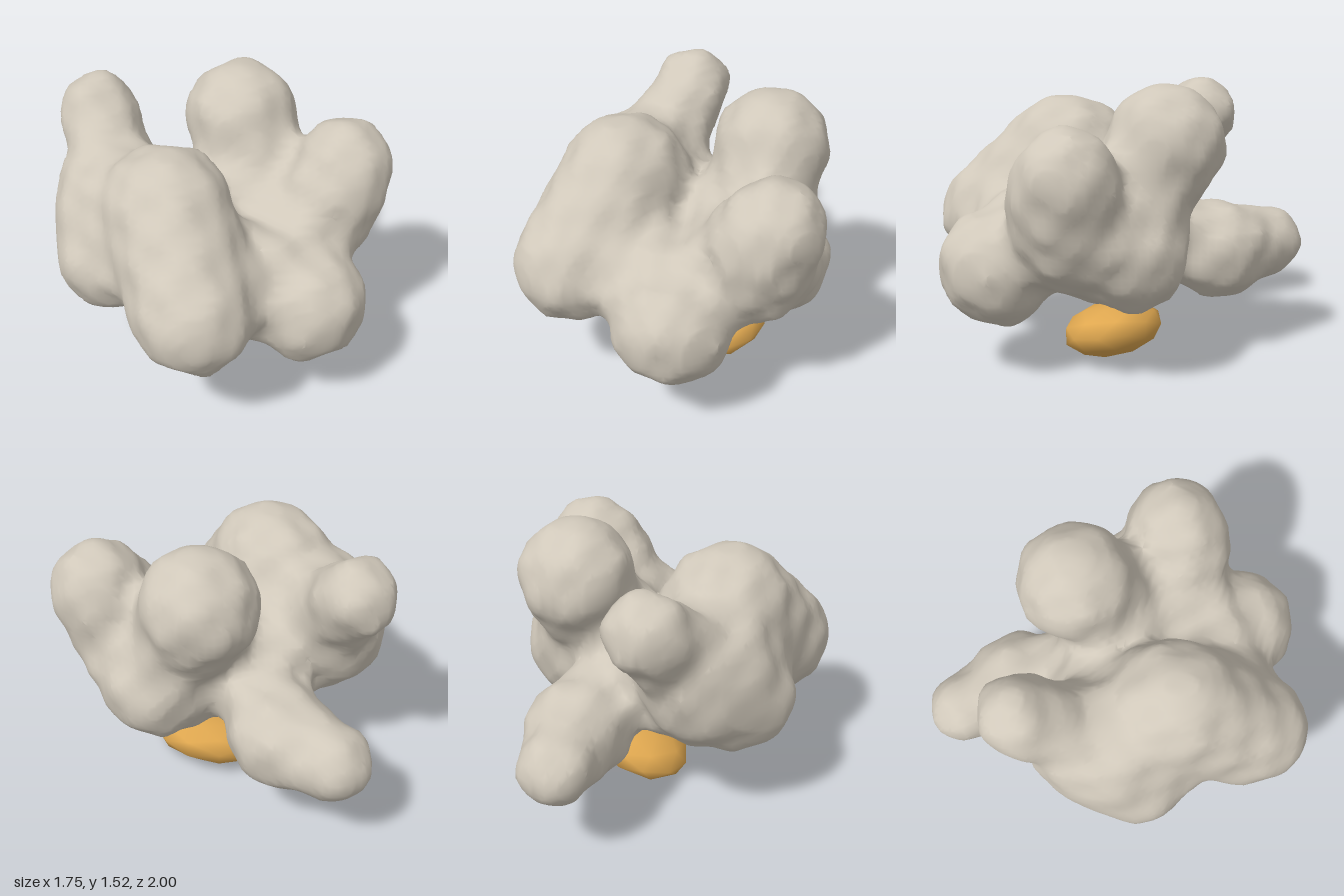
import * as THREE from 'three';
import { mergeVertices } from 'three/addons/utils/BufferGeometryUtils.js';

// Blended lobes: start x, y, z, radius, then end x, y, z, radius
const LOBES = [
  [-0.29, 1.07, 0.31, 0.315, -0.2, 0.73, 0.7, 0.295],  // front left ridge
  [-0.34, 1.0, 0.2, 0.29, -0.23, 0.7, 0.55, 0.26],     // ridge flank
  [0.385, 0.59, 0.47, 0.31, 0.3, 0.7, 0.33, 0.25],     // front right lobe
  [0.1, 0.69, 0.42, 0.25, -0.1, 0.74, 0.42, 0.25],     // bridge between front lobes
  [0.63, 1.12, 0.03, 0.245, 0.5, 0.84, 0.02, 0.29],    // right lobe
  [0.57, 0.99, 0.11, 0.22, 0.4, 0.78, 0.1, 0.24],      // right lobe front
  [0.35, 0.68, -0.22, 0.285, 0.12, 0.65, -0.08, 0.275], // back right base
  [0.13, 1.22, -0.35, 0.3, 0.2, 0.92, -0.21, 0.265],   // top back lobe
  [-0.635, 1.27, -0.4, 0.198, -0.56, 1.03, -0.16, 0.23], // back left knob
  [-0.61, 0.94, 0.03, 0.255, -0.6, 0.72, 0.18, 0.275], // left side
  [-0.58, 0.82, -0.07, 0.26, -0.4, 0.75, 0.0, 0.25],   // left side back
  [-0.49, 0.58, -0.815, 0.188, -0.26, 0.57, -0.58, 0.248], // tail
  [-0.26, 0.57, -0.58, 0.2, -0.14, 0.7, -0.2, 0.21],   // tail root
  [-0.4, 0.68, 0.02, 0.23, 0.08, 0.63, 0.08, 0.26],    // core
  [-0.25, 0.82, -0.14, 0.2, 0.1, 0.82, -0.06, 0.23],   // web between back lobes
];
const BLEND = 0.14;

// Signed distance to a capsule whose radius varies along its length
function capsule(x, y, z, [ax, ay, az, ar, bx, by, bz, br]) {
  const dx = bx - ax, dy = by - ay, dz = bz - az;
  const dot = (x - ax) * dx + (y - ay) * dy + (z - az) * dz;
  const t = Math.min(1, Math.max(0, dot / (dx * dx + dy * dy + dz * dz)));
  return Math.hypot(x - ax - dx * t, y - ay - dy * t, z - az - dz * t) - ar - (br - ar) * t;
}

// Smooth union of all lobes with a little lumpiness
function field(x, y, z) {
  let d = 10;
  for (const lobe of LOBES) {
    const e = capsule(x, y, z, lobe), h = Math.max(BLEND - Math.abs(d - e), 0) / BLEND;
    d = Math.min(d, e) - h * h * BLEND / 4;
  }
  return d + 0.018 * Math.sin(21 * x + 3 * y) * Math.sin(19 * y + 4 * z + 1) * Math.sin(20 * z - 3 * x + 2);
}

// Surface net over a regular grid: one vertex per crossed cell, one quad per crossed edge
function surfaceNet(min, step, size) {
  const [nx, ny, nz] = size, stride = [1, nx, nx * ny];
  const values = new Float32Array(nx * ny * nz), cellVertex = new Int32Array(nx * ny * nz).fill(-1);
  const positions = [], indices = [];
  const each = (start, trim, visit) => {
    for (let k = start; k < nz - trim; k++)
      for (let j = start; j < ny - trim; j++)
        for (let i = start; i < nx - trim; i++) visit(i, j, k, i + j * nx + k * nx * ny);
  };
  each(0, 0, (i, j, k, n) => {
    values[n] = field(min[0] + i * step, min[1] + j * step, min[2] + k * step);
  });
  each(0, 1, (i, j, k, n) => {
    const sum = [0, 0, 0];
    let count = 0;
    for (let corner = 0; corner < 8; corner++) {
      const o = [corner & 1, (corner >> 1) & 1, corner >> 2];
      const p = n + o[0] + o[1] * stride[1] + o[2] * stride[2];
      for (let a = 0; a < 3; a++) {
        if (o[a]) continue;
        const v = values[p], w = values[p + stride[a]];
        if (v < 0 === w < 0) continue;
        for (let b = 0; b < 3; b++) sum[b] += o[b] + (a === b ? v / (v - w) : 0);
        count++;
      }
    }
    if (!count) return;
    cellVertex[n] = positions.length / 3;
    [i, j, k].forEach((c, a) => positions.push(min[a] + (c + sum[a] / count) * step));
  });
  each(1, 1, (i, j, k, n) => {
    for (let a = 0; a < 3; a++) {
      const inside = values[n] < 0;
      if (inside === values[n + stride[a]] < 0) continue;
      const b = stride[(a + 1) % 3], c = stride[(a + 2) % 3];
      const [p, q, r, s] = [n, n - b, n - b - c, n - c].map((m) => cellVertex[m]);
      indices.push(...(inside ? [p, q, r, p, r, s] : [p, r, q, p, s, r]));
    }
  });
  const geometry = new THREE.BufferGeometry();
  geometry.setAttribute('position', new THREE.Float32BufferAttribute(positions, 3));
  geometry.setIndex(indices);
  geometry.computeVertexNormals();
  return geometry;
}

// Low-poly flattened pebble, sheared so its right and back sides ride higher
function pebbleGeometry() {
  const source = new THREE.IcosahedronGeometry(1, 1);
  source.deleteAttribute('normal');
  source.deleteAttribute('uv');
  const geometry = mergeVertices(source);
  const p = geometry.attributes.position;
  for (let i = 0; i < p.count; i++) {
    const x = p.getX(i), y = p.getY(i), z = p.getZ(i);
    p.setXYZ(i, 0.03 + 0.335 * x, 0.168 + 0.156 * y + 0.05 * x - 0.045 * z, -0.05 + 0.268 * z);
  }
  geometry.computeVertexNormals();
  return geometry;
}

export function createModel() {
  const stone = new THREE.MeshStandardMaterial({ color: 0xd0c8ba });
  stone.name = 'warm grey';
  const amber = new THREE.MeshStandardMaterial({ color: 0xe0a850 });
  amber.name = 'amber';

  const group = new THREE.Group();
  const body = new THREE.Mesh(surfaceNet([-1.02, 0.18, -1.1], 0.04, [52, 37, 56]), stone);
  body.name = 'lobedBody';
  const pebble = new THREE.Mesh(pebbleGeometry(), amber);
  pebble.name = 'pebble';
  group.add(body, pebble);
  return group;
}
